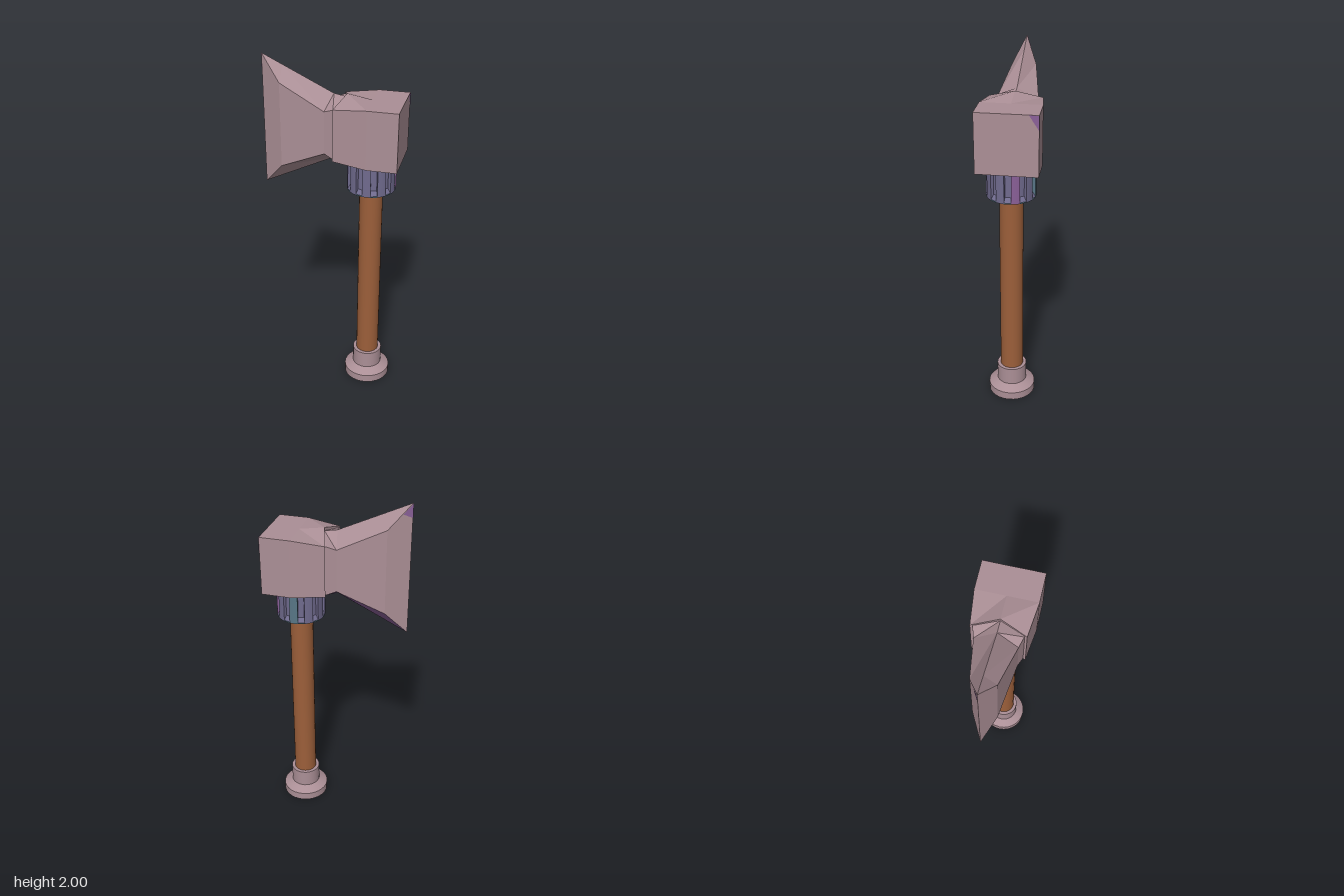
import * as THREE from 'three';

const mat = (name, color, side = THREE.FrontSide) => {
  const m = new THREE.MeshStandardMaterial({ color, side });
  m.name = name;
  return m;
};

const MID = 1.625; // height of the head's centre line
const AXIS = 0.222; // x of the handle

// Six-sided section: side x, half height, half width, ridge x, ridge half height
function section([x, h, w, rx, rh]) {
  return [[x, h, w], [rx, rh, 0], [x, h, -w], [x, -h, -w], [rx, -rh, 0], [x, -h, w]]
    .map(([a, b, c]) => [a, b + MID, c]);
}

// Joins sections from +x to -x; colourOf(face, step) picks a material index
function loft(stations, colourOf) {
  const rings = stations.map(section);
  const buckets = [[], []];
  const tri = (k, a, b, c) => buckets[k].push(...a, ...b, ...c);
  for (let i = 0; i < rings.length - 1; i++) {
    for (let j = 0; j < 6; j++) {
      const n = (j + 1) % 6, k = colourOf(j, i);
      tri(k, rings[i][j], rings[i][n], rings[i + 1][n]);
      tri(k, rings[i][j], rings[i + 1][n], rings[i + 1][j]);
    }
  }
  const first = rings[0], last = rings[rings.length - 1];
  for (let j = 2; j < 6; j++) {
    const n = (j + 1) % 6;
    tri(0, first[1], first[n], first[j]);
    tri(0, last[1], last[j], last[n]);
  }
  const geo = new THREE.BufferGeometry();
  geo.setAttribute('position', new THREE.Float32BufferAttribute(buckets.flat(), 3));
  geo.addGroup(0, buckets[0].length / 3, 0);
  geo.addGroup(buckets[0].length / 3, buckets[1].length / 3, 1);
  geo.computeVertexNormals();
  return geo;
}

function triangle(...points) {
  const geo = new THREE.BufferGeometry();
  geo.setAttribute('position', new THREE.Float32BufferAttribute(points.flat(), 3));
  geo.computeVertexNormals();
  return geo;
}

// Lathe with sharp edges between profile points: one band per segment
function bands(group, name, profile, material, sides) {
  for (let i = 0; i < profile.length - 1; i++) {
    const pts = [profile[i], profile[i + 1]].map(([r, y]) => new THREE.Vector2(r, y));
    const mesh = new THREE.Mesh(new THREE.LatheGeometry(pts, sides), material);
    mesh.name = name;
    group.add(mesh);
  }
}

export function createModel() {
  const model = new THREE.Group();
  model.name = 'axe';
  const steel = mat('dustyRoseSteel', 0xab8f96);
  const rose = mat('dustyRosePommel', 0xab8f96, THREE.DoubleSide);
  const wood = mat('brownWood', 0x9c5f3a);
  const purple = mat('purple', 0x8a6098, THREE.DoubleSide);
  const slate = mat('slateViolet', 0x706b8e, THREE.DoubleSide);
  const teal = mat('greyTeal', 0x587686, THREE.DoubleSide);
  const add = (name, geo, material, parent = model) => {
    const mesh = new THREE.Mesh(geo, material);
    mesh.name = name;
    parent.add(mesh);
    return mesh;
  };

  // Hammer block, purple underneath
  add('hammerBlock', loft([
    [0.39, 0.166, 0.167, 0.39, 0.166],
    [0.222, 0.166, 0.167, 0.222, 0.166],
    [0.035, 0.146, 0.145, 0.08, 0.19],
  ], (j) => (j === 3 || j === 4 ? 1 : 0)), [steel, purple]);

  // Flared blade, purple under the neck and the rear lower bevel
  add('blade', loft([
    [0.06, 0.145, 0.137, 0.11, 0.17],
    [0.035, 0.14, 0.131, 0.08, 0.172],
    [-0.018, 0.12, 0.114, 0.008, 0.185],
    [-0.275, 0.24, 0.068, -0.275, 0.32],
    [-0.39, 0.375, 0, -0.39, 0.375],
  ], (j, i) => (j === 3 || (j === 4 && i < 2) ? 1 : 0)), [steel, purple]);

  // Painted corners
  add('blockCornerPaint', triangle(
    [0.392, 1.79, -0.115], [0.392, 1.71, -0.167], [0.392, 1.79, -0.167]), purple);
  add('bladeTipPaint', triangle(
    [-0.3915, 1.998, -0.002], [-0.3465, 1.944, -0.0295], [-0.3915, 1.92, -0.002]), purple);

  // Handle
  add('handle', new THREE.CylinderGeometry(0.066, 0.066, 1.46, 24), wood)
    .position.set(AXIS, 0.77, 0);

  // Fluted collar: core with flared foot, and ten ribs
  const collar = new THREE.Group();
  collar.name = 'collar';
  collar.position.x = AXIS;
  model.add(collar);
  bands(collar, 'collarFoot', [[0.06, 1.283], [0.136, 1.283], [0.136, 1.29]], teal, 30);
  bands(collar, 'collarCore', [[0.136, 1.29], [0.118, 1.315], [0.118, 1.465]], slate, 30);
  const half = 0.175;
  const ribShape = new THREE.Shape();
  ribShape.absarc(0, 0, 0.136, -half, half, false);
  ribShape.absarc(0, 0, 0.105, half, -half, true);
  const ribGeo = new THREE.ExtrudeGeometry(ribShape, { depth: 0.178, bevelEnabled: false, curveSegments: 3 });
  ribGeo.rotateX(-Math.PI / 2);
  const ribColours = [purple, slate, teal, slate, slate, slate, slate, slate, slate, slate];
  for (let i = 0; i < 10; i++) {
    const angle = (i + 0.5) * Math.PI / 5;
    const rib = add('collarRib', ribGeo, ribColours[i], collar);
    rib.position.y = 1.284;
    rib.rotation.y = angle;
  }

  // Pommel with an open recess below
  const pommel = new THREE.Group();
  pommel.name = 'pommel';
  pommel.position.x = AXIS;
  model.add(pommel);
  bands(pommel, 'pommelRing', [
    [0.063, 0.05], [0.063, 0], [0.136, 0], [0.136, 0.047],
    [0.086, 0.077], [0.086, 0.18], [0.064, 0.18],
  ], rose, 28);

  return model;
}
